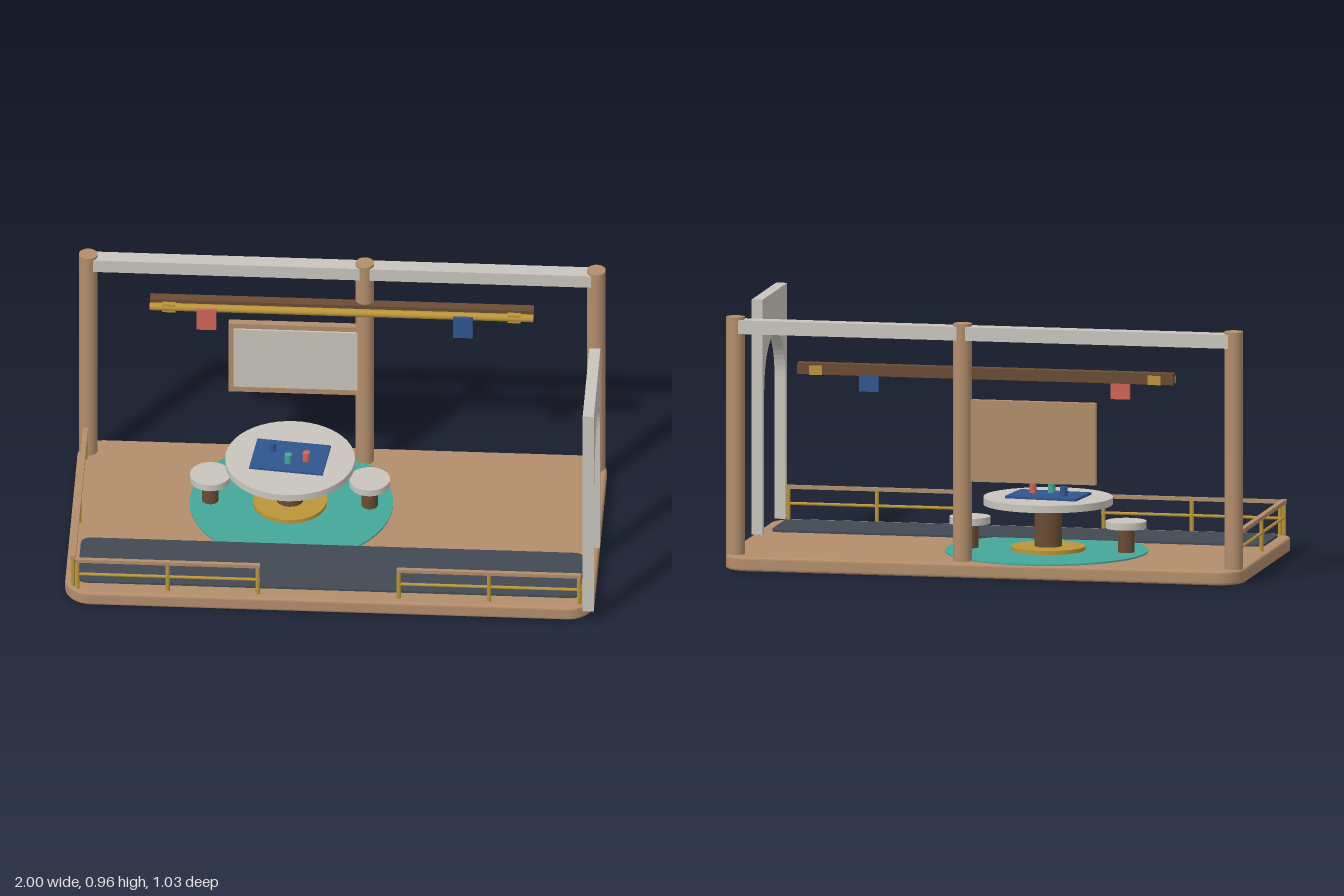
import * as THREE from 'three';

const mat = (name, color) => Object.assign(new THREE.MeshStandardMaterial({ color }), { name });

export function createModel() {
  const wood = mat('light wood', 0xb28d6b);
  const dark = mat('dark wood', 0x6a4c34);
  const stone = mat('pale stone', 0xc9c5bd);
  const brass = mat('brass', 0xbb953a);
  const teal = mat('teal', 0x45a798);
  const slate = mat('slate', 0x424954);
  const blue = mat('blue', 0x30568f);
  const red = mat('red', 0xcf6555);

  const model = new THREE.Group();
  model.name = 'pavilion';

  const add = (name, geometry, material, x = 0, y = 0, z = 0, parent = model) => {
    const mesh = new THREE.Mesh(geometry, material);
    mesh.name = name;
    mesh.position.set(x, y, z);
    parent.add(mesh);
    return mesh;
  };
  // Box given by its limits on each axis
  const box = (name, m, [x0, x1], [y0, y1], [z0, z1], parent) =>
    add(name, new THREE.BoxGeometry(x1 - x0, y1 - y0, z1 - z0), m,
      (x0 + x1) / 2, (y0 + y1) / 2, (z0 + z1) / 2, parent);
  // Upright cylinder from y0 to y1
  const disc = (name, m, r, y0, y1, x, z, parent, sides = 32) =>
    add(name, new THREE.CylinderGeometry(r, r, y1 - y0, sides), m, x, (y0 + y1) / 2, z, parent);
  // Round bar along x or z
  const bar = (name, m, r, axis, length, x, y, z, parent) => {
    const g = new THREE.CylinderGeometry(r, r, length, 12);
    if (axis === 'x') g.rotateZ(Math.PI / 2);
    else g.rotateX(Math.PI / 2);
    return add(name, g, m, x, y, z, parent);
  };
  // Flat slab with rounded corners, lying on y = 0
  const slab = (w, d, h, r, bevel, curveSegments) => {
    const a = w / 2 - bevel, b = d / 2 - bevel;
    const s = new THREE.Shape();
    s.moveTo(-a + r, -b);
    s.lineTo(a - r, -b);
    s.absarc(a - r, -b + r, r, -Math.PI / 2, 0);
    s.absarc(a - r, b - r, r, 0, Math.PI / 2);
    s.absarc(-a + r, b - r, r, Math.PI / 2, Math.PI);
    s.absarc(-a + r, -b + r, r, Math.PI, Math.PI * 1.5);
    return new THREE.ExtrudeGeometry(s, {
      depth: h - 2 * bevel, curveSegments, bevelEnabled: bevel > 0,
      bevelSize: bevel, bevelThickness: bevel, bevelSegments: 3,
    }).rotateX(-Math.PI / 2).translate(0, bevel, 0);
  };

  // Floor and coverings
  const floor = 0.055;
  add('platform', slab(1.994, 1.015, floor, 0.09, 0.01, 10), wood, 0, 0, -0.008);
  add('runnerCarpet', slab(1.895, 0.287, 0.008, 0.035, 0, 2), slate, -0.003, floor, 0.287);
  disc('roundRug', teal, 0.383, floor, 0.061, -0.175, -0.135, model, 48);

  // Back posts and lintel
  for (const x of [-0.957, 0.085, 0.957]) disc('backPost', wood, 0.035, floor, 0.957, x, -0.437);
  box('lintel', stone, [-0.957, 0.957], [0.895, 0.947], [-0.468, -0.408]);

  // Side archway
  const arch = new THREE.Shape();
  arch.moveTo(0.065, floor);
  arch.lineTo(0.095, floor);
  arch.lineTo(0.095, 0.597);
  arch.absarc(0.29, 0.597, 0.195, Math.PI, 0, true);
  arch.lineTo(0.485, floor);
  arch.lineTo(0.515, floor);
  arch.lineTo(0.515, 0.948);
  arch.lineTo(0.065, 0.948);
  const archGeometry = new THREE.ExtrudeGeometry(arch, { depth: 0.042, bevelEnabled: false, curveSegments: 14 });
  add('archway', archGeometry.rotateY(-Math.PI / 2), stone, 1, 0, 0);

  // Round table
  const table = new THREE.Group();
  table.name = 'table';
  table.position.set(-0.18, 0, -0.132);
  model.add(table);
  disc('tableFoot', brass, 0.14, 0.061, 0.076, 0, 0, table);
  disc('tableColumn', dark, 0.052, 0.076, 0.235, 0, 0, table);
  disc('tableTop', stone, 0.244, 0.235, 0.263, 0, 0, table, 48);
  const board = box('gameBoard', blue, [-0.14, 0.14], [0.263, 0.272], [-0.095, 0.095], table);
  board.rotation.y = -0.11;
  for (const [m, x, z] of [[blue, -0.068, -0.035], [teal, -0.005, 0.04], [red, 0.063, 0.023]])
    disc('gamePiece', m, 0.014, 0.272, 0.308, x, z, table, 20);

  // Stools
  for (const x of [-0.48, 0.12]) {
    const stool = new THREE.Group();
    stool.name = 'stool';
    stool.position.set(x, 0, -0.132);
    model.add(stool);
    disc('stoolColumn', dark, 0.031, floor, 0.153, 0, 0, stool);
    disc('stoolSeat', stone, 0.077, 0.153, 0.18, 0, 0, stool);
  }

  // Framed display panel
  box('panelFrame', wood, [-0.428, 0.08], [0.358, 0.668], [-0.45, -0.422]);
  box('panelFace', stone, [-0.408, 0.06], [0.385, 0.647], [-0.422, -0.415]);

  // Hanging rail with brackets and tags
  box('hangingBeam', dark, [-0.722, 0.722], [0.745, 0.788], [-0.434, -0.394]);
  bar('hangingBar', brass, 0.015, 'x', 1.445, 0, 0.761, -0.387);
  for (const s of [-1, 1]) box('railBracket', brass, [s * 0.65 - 0.025, s * 0.65 + 0.025], [0.744, 0.779], [-0.438, -0.375]);
  for (const [m, x] of [[red, -0.508], [blue, 0.458]])
    box('hangingTag', m, [x - 0.037, x + 0.037], [0.677, 0.768], [-0.378, -0.363]);

  // Front railings
  for (const [x0, x1] of [[-0.955, -0.26], [0.255, 0.95]]) {
    const mid = (x0 + x1) / 2, rail = new THREE.Group();
    rail.name = 'frontRailing';
    model.add(rail);
    box('handrail', wood, [x0, x1], [0.174, 0.188], [0.456, 0.472], rail);
    bar('middleBar', brass, 0.006, 'x', x1 - x0, mid, 0.118, 0.464, rail);
    for (const x of [x0 + 0.008, mid, x1 - 0.008]) disc('railPost', brass, 0.008, floor, 0.175, x, 0.464, rail, 12);
  }

  // Side railing
  const side = new THREE.Group();
  side.name = 'sideRailing';
  model.add(side);
  box('handrail', wood, [-0.975, -0.955], [0.177, 0.193], [-0.393, 0.457], side);
  bar('middleBar', brass, 0.006, 'z', 0.85, -0.965, 0.124, 0.032, side);
  for (const z of [-0.384, 0.032, 0.448]) disc('railPost', brass, 0.008, floor, 0.18, -0.965, z, side, 12);

  return model;
}
